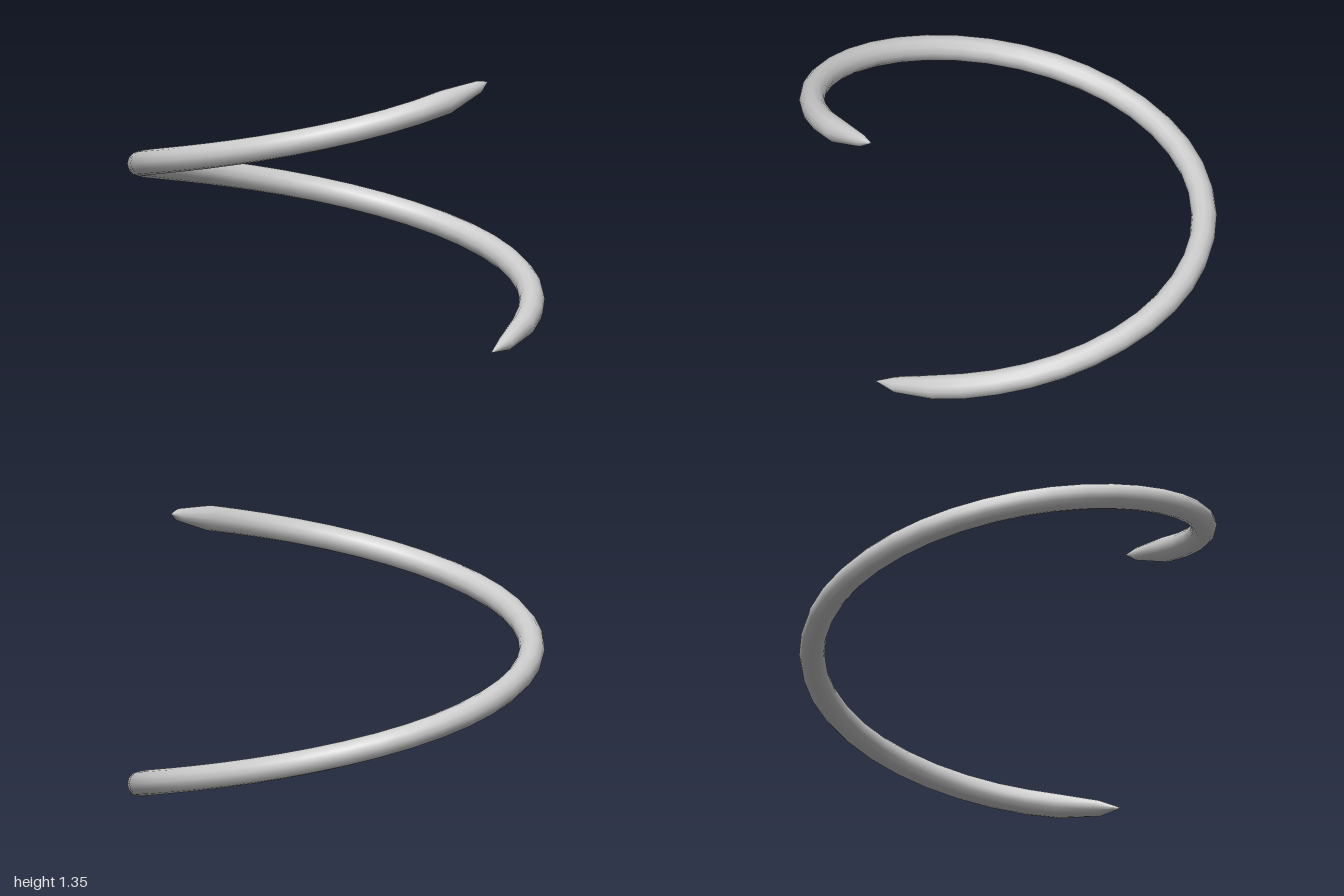
import * as THREE from 'three';

const RADIUS = 0.935, RISE = 1.33, SIDES = 12, TUBE = 0.061;

// Rings along one turn: [angle in degrees, tube radius], tapering to a point at both ends
function ringList() {
  const rings = [[0.3, 0], [8, 0.039], [20.5, 0.058]];
  const steps = 34;
  for (let i = 1; i < steps; i++) rings.push([20.5 + (321.5 * i) / steps, TUBE]);
  rings.push([342, TUBE], [354.5, 0.031], [358.9, 0]);
  return rings;
}

// Sweep a round cross-section along the rising helix
function helixGeometry() {
  const rings = ringList(), positions = [], indices = [];
  rings.forEach(([deg, r], i) => {
    const a = THREE.MathUtils.degToRad(deg), c = Math.cos(a), s = Math.sin(a);
    const center = new THREE.Vector3(0.01 + RADIUS * c, 0.022 + (RISE * deg) / 360, -0.002 - RADIUS * s);
    const outward = new THREE.Vector3(c, 0, -s);
    const tangent = new THREE.Vector3(-RADIUS * s, RISE / (2 * Math.PI), -RADIUS * c).normalize();
    const side = new THREE.Vector3().crossVectors(tangent, outward);
    for (let j = 0; j < SIDES; j++) {
      const p = (j / SIDES) * Math.PI * 2;
      const v = center.clone()
        .addScaledVector(outward, r * Math.cos(p))
        .addScaledVector(side, r * Math.sin(p));
      positions.push(v.x, v.y, v.z);
      if (i < rings.length - 1) {
        const k = (j + 1) % SIDES, n = i * SIDES, m = n + SIDES;
        indices.push(n + j, n + k, m + j, n + k, m + k, m + j);
      }
    }
  });
  const geometry = new THREE.BufferGeometry();
  geometry.setAttribute('position', new THREE.Float32BufferAttribute(positions, 3));
  geometry.setIndex(indices);
  geometry.computeVertexNormals();
  return geometry;
}

export function createModel() {
  const group = new THREE.Group();
  group.name = 'spiral';
  const coil = new THREE.Mesh(helixGeometry(), new THREE.MeshStandardMaterial({ color: 0xcccccc }));
  coil.name = 'coil';
  group.add(coil);
  return group;
}
